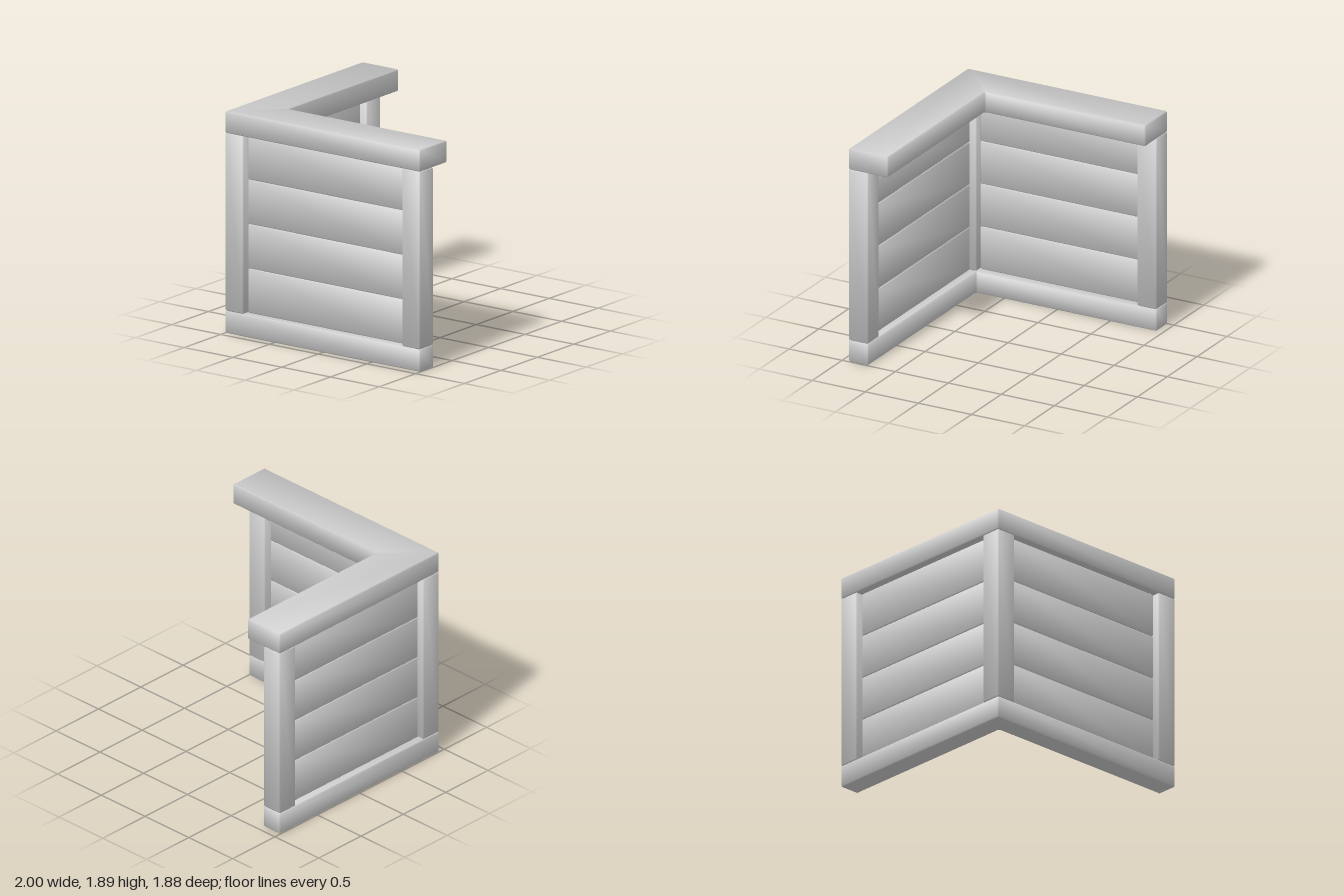
import * as THREE from 'three';
import { mergeVertices } from 'three/addons/utils/BufferGeometryUtils.js';

const BEVEL = 0.01;
const W = 0.1875;            // post and base thickness
const X = 1, Z = 0.9425;     // half extents
const TOP = 1.89;
const material = new THREE.MeshStandardMaterial({ color: 0xcccccc });

// Cut every corner of a polygon by the bevel width
function chamfer(points) {
  const out = [];
  points.forEach((p, i) => {
    const prev = points[(i + points.length - 1) % points.length];
    const next = points[(i + 1) % points.length];
    for (const q of [prev, next]) {
      out.push(p.clone().add(q.clone().sub(p).setLength(BEVEL)));
    }
  });
  return out;
}

// Share vertices and blend normals, each face weighted by its corner angle
function smooth(source) {
  source.deleteAttribute('normal');
  source.deleteAttribute('uv');
  const geo = mergeVertices(source, 1e-4);
  geo.clearGroups();
  const pos = geo.attributes.position, idx = geo.index;
  const sums = Array.from({ length: pos.count }, () => new THREE.Vector3());
  const tri = new THREE.Triangle(), n = new THREE.Vector3();
  for (let i = 0; i < idx.count; i += 3) {
    const ids = [idx.getX(i), idx.getX(i + 1), idx.getX(i + 2)];
    tri.setFromAttributeAndIndices(pos, ...ids);
    tri.getNormal(n);
    const c = [tri.a, tri.b, tri.c];
    ids.forEach((id, k) => {
      const u = c[(k + 1) % 3].clone().sub(c[k]);
      const v = c[(k + 2) % 3].clone().sub(c[k]);
      sums[id].addScaledVector(n, u.angleTo(v));
    });
  }
  const normals = sums.flatMap((s) => s.normalize().toArray());
  geo.setAttribute('normal', new THREE.Float32BufferAttribute(normals, 3));
  return geo;
}

// Bevelled prism standing on y = 0, from a plan outline in (x, -z)
function prism(points, height) {
  const outline = points.map(([x, y]) => new THREE.Vector2(x, y));
  const geo = new THREE.ExtrudeGeometry(new THREE.Shape(chamfer(outline)), {
    depth: height - 2 * BEVEL, bevelEnabled: true, bevelSegments: 1,
    bevelSize: BEVEL, bevelThickness: BEVEL, bevelOffset: -BEVEL, steps: 1,
  });
  geo.translate(0, 0, BEVEL).rotateX(-Math.PI / 2);
  return smooth(geo);
}

const block = (sx, sy, sz) => prism(
  [[-sx / 2, -sz / 2], [sx / 2, -sz / 2], [sx / 2, sz / 2], [-sx / 2, sz / 2]], sy);

// L-shaped rail with its outer corner at -x, +z
const rail = (w, h) => prism(
  [[-X, -Z], [X, -Z], [X, -Z + w], [-X + w, -Z + w], [-X + w, Z], [-X, Z]], h);

export function createModel() {
  const group = new THREE.Group();
  const add = (name, geo, x, y, z) => {
    const mesh = new THREE.Mesh(geo, material);
    mesh.name = name;
    mesh.position.set(x, y, z);
    group.add(mesh);
  };

  // Rails: narrow base, wide cap overhanging the inside
  const low = 0.19, high = 1.705;
  add('baseRail', rail(W, low), 0, 0, 0);
  add('capRail', rail(2 * W, TOP - high), 0, high, 0);

  // Posts at the corner and both wall ends
  const px = X - W / 2, pz = Z - W / 2;
  const post = block(W, high - low, W);
  add('cornerPost', post, -px, low, pz);
  add('frontEndPost', post, px, low, pz);
  add('sideEndPost', post, -px, low, -pz);

  // Four planks per wall, recessed on both faces
  const count = 4, plankHeight = (high - low) / count, thick = 0.065;
  const frontPlank = block(2 * (X - W), plankHeight, thick);
  const sidePlank = block(thick, plankHeight, 2 * (Z - W));
  for (let i = 0; i < count; i++) {
    const y = low + i * plankHeight;
    add('frontPlank', frontPlank, 0, y, pz);
    add('sidePlank', sidePlank, -px, y, 0);
  }
  return group;
}
